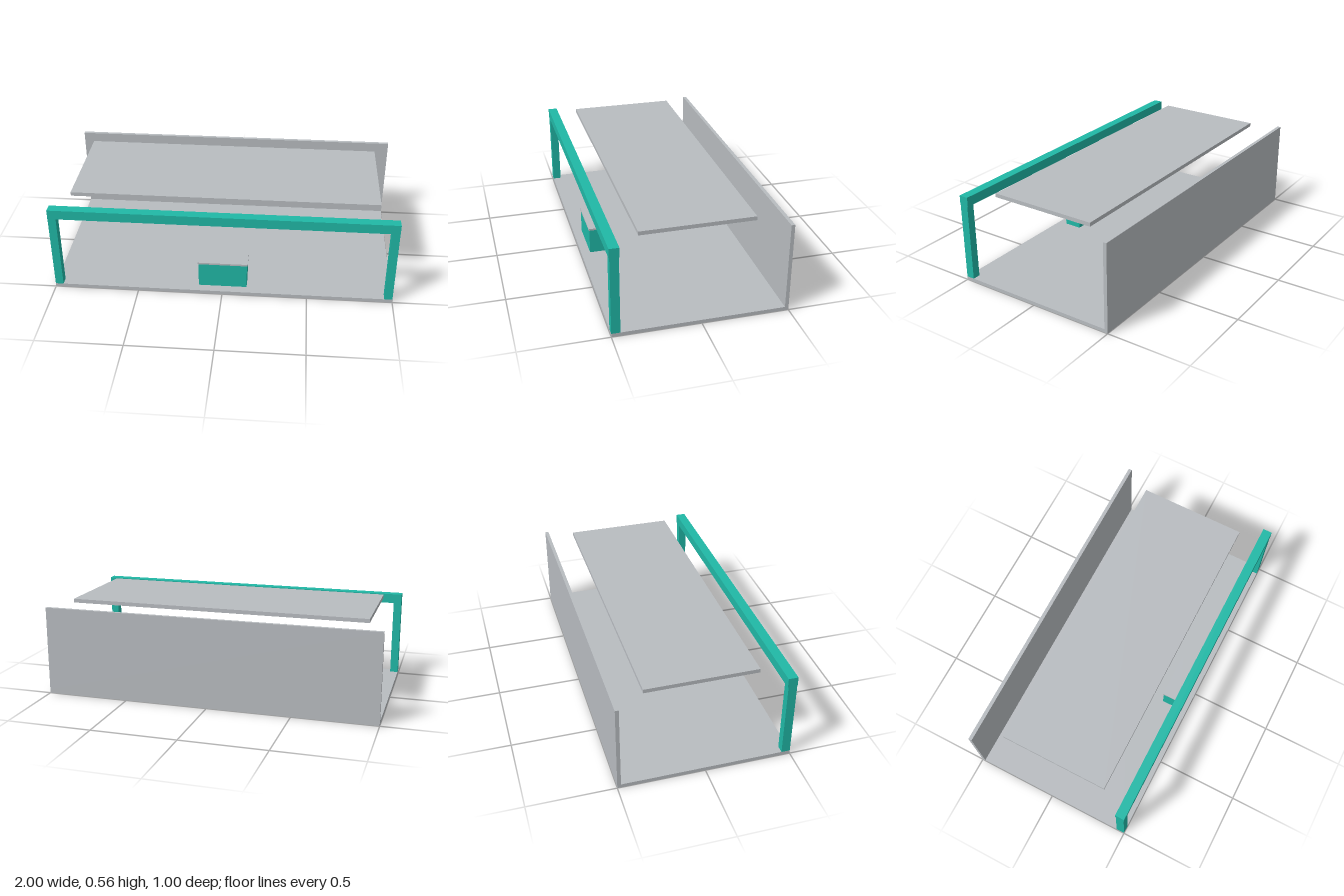
import * as THREE from 'three';

export function createModel() {
  const model = new THREE.Group();
  model.name = 'marketHall';

  const grey = new THREE.MeshStandardMaterial({ color: 0xb8bcc0 });
  grey.name = 'panelGrey';
  const teal = new THREE.MeshStandardMaterial({ color: 0x20b8a6 });
  teal.name = 'frameTeal';

  // Box given by its lower and upper corners
  function slab(name, material, [x0, y0, z0], [x1, y1, z1]) {
    const mesh = new THREE.Mesh(new THREE.BoxGeometry(x1 - x0, y1 - y0, z1 - z0), material);
    mesh.position.set((x0 + x1) / 2, (y0 + y1) / 2, (z0 + z1) / 2);
    mesh.name = name;
    model.add(mesh);
  }

  const floorTop = 0.021;

  // Floor, back wall and floating roof panel
  slab('floor', grey, [-1, 0, -0.5], [1, floorTop, 0.5]);
  slab('backWall', grey, [-1, floorTop, -0.5], [1, 0.534, -0.479]);
  slab('roofPanel', grey, [-0.9, 0.534, -0.325], [0.9, 0.557, 0.325]);

  // Front frame: two posts under a slightly deeper beam
  for (const [name, x] of [['rightPost', -1], ['leftPost', 0.953]]) {
    slab(name, teal, [x, floorTop, 0.45], [x + 0.047, 0.479, 0.5]);
  }
  slab('frontBeam', teal, [-1, 0.479, 0.446], [1, 0.536, 0.502]);

  // Counter with an overhanging top
  slab('counterBody', teal, [-0.143, floorTop, 0.338], [0.143, 0.174, 0.446]);
  slab('counterTop', grey, [-0.148, 0.174, 0.332], [0.148, 0.185, 0.45]);

  return model;
}
